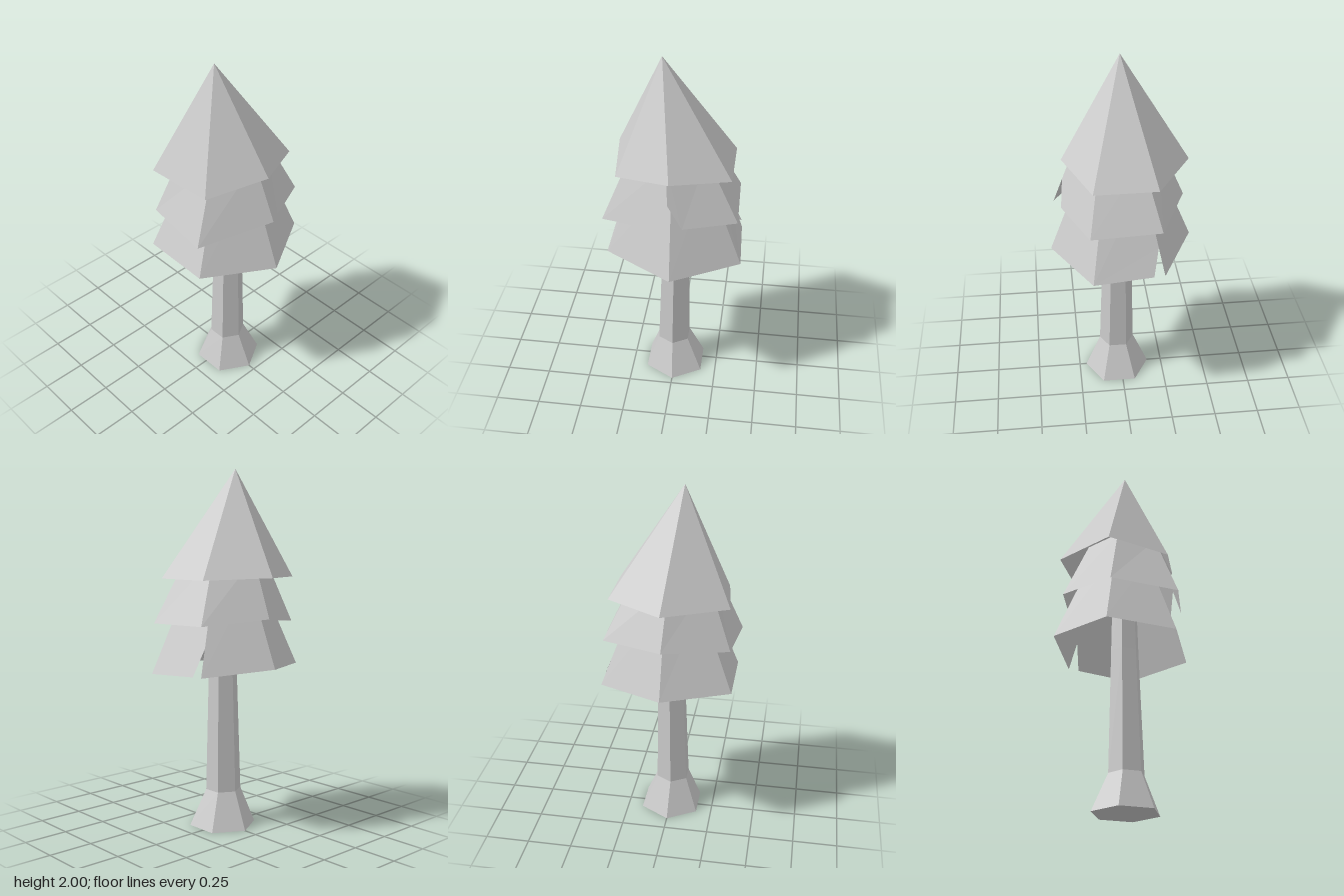
import * as THREE from 'three';

const material = new THREE.MeshStandardMaterial({ color: 0xcccccc, flatShading: true, side: THREE.DoubleSide });

// Six corners around a centre, starting at the front and turning towards +x
const hexRing = (cx, y, cz, r) => Array.from({ length: 6 }, (_, i) => {
  const a = (i * Math.PI) / 3;
  return new THREE.Vector3(cx + r * Math.sin(a), y, cz + r * Math.cos(a));
});

const vec = (p) => new THREE.Vector3(...p);

// Flat-shaded mesh from convex polygons, corners counter-clockwise from outside
function polygonMesh(name, polygons) {
  const points = [];
  for (const poly of polygons) {
    for (let i = 1; i < poly.length - 1; i++) points.push(poly[0], poly[i], poly[i + 1]);
  }
  const geometry = new THREE.BufferGeometry().setFromPoints(points);
  geometry.computeVertexNormals();
  const mesh = new THREE.Mesh(geometry, material);
  mesh.name = name;
  return mesh;
}

// Hollow foliage skirt of six panels; a notch splits two panels at one corner
function skirt(name, rimPoints, top, notch) {
  const rim = rimPoints.map(vec);
  const panels = rim.map((corner, k) => {
    const n = (k + 1) % 6;
    const startsAtNotch = notch && notch.corner === k;
    const endsAtNotch = notch && notch.corner === n;
    const panel = [startsAtNotch ? vec(notch.start) : corner, endsAtNotch ? vec(notch.end) : rim[n]];
    if (endsAtNotch) panel.push(rim[n].clone().lerp(top[n], notch.depth));
    if (Array.isArray(top)) panel.push(top[n], top[k]);
    else panel.push(top);
    if (startsAtNotch) panel.push(corner.clone().lerp(top[k], notch.depth));
    return panel;
  });
  return polygonMesh(name, panels);
}

// Solid trunk lofted through hexagonal rings
function trunk(rings) {
  const polygons = [[...rings[0]].reverse(), rings[rings.length - 1]];
  for (let r = 0; r < rings.length - 1; r++) {
    for (let k = 0; k < 6; k++) {
      const n = (k + 1) % 6;
      polygons.push([rings[r][k], rings[r][n], rings[r + 1][n], rings[r + 1][k]]);
    }
  }
  return polygonMesh('trunk', polygons);
}

export function createModel() {
  const group = new THREE.Group();
  group.name = 'coniferTree';

  // Trunk with a flared foot
  group.add(trunk([
    hexRing(0, 0, 0.022, 0.188),
    hexRing(-0.008, 0.205, 0.023, 0.1),
    hexRing(0, 0.9, 0.018, 0.08),
    hexRing(0, 1.3, 0.015, 0.07),
  ]));

  // Lower skirt, notched at its back +x corner
  group.add(skirt('lowerFoliage', [
    [0.01, 0.895, 0.39], [0.375, 0.89, 0.18], [0.355, 0.91, -0.205],
    [0, 0.94, -0.39], [-0.36, 0.92, -0.205], [-0.36, 0.908, 0.18],
  ], hexRing(0, 1.4, 0, 0.2),
  { corner: 2, depth: 0.3, start: [0.355, 0.91, -0.205], end: [0.36, 0.91, -0.145] }));

  // Middle skirt, notched at the front
  group.add(skirt('middleFoliage', [
    [0, 1.2, 0.363], [0.35, 1.165, 0.19], [0.34, 1.175, -0.19],
    [0, 1.203, -0.345], [-0.345, 1.16, -0.18], [-0.377, 1.13, 0.19],
  ], hexRing(-0.02, 1.52, 0.015, 0.222),
  { corner: 0, depth: 0.4, start: [0.07, 1.195, 0.326], end: [0, 1.2, 0.363] }));

  // Pointed crown with a leaning tip
  group.add(skirt('crownFoliage', [
    [0, 1.45, 0.315], [0.31, 1.408, 0.17], [0.31, 1.41, -0.17],
    [0, 1.42, -0.368], [-0.34, 1.41, -0.19], [-0.3, 1.387, 0.167],
  ], new THREE.Vector3(-0.072, 2, -0.005)));

  return group;
}
